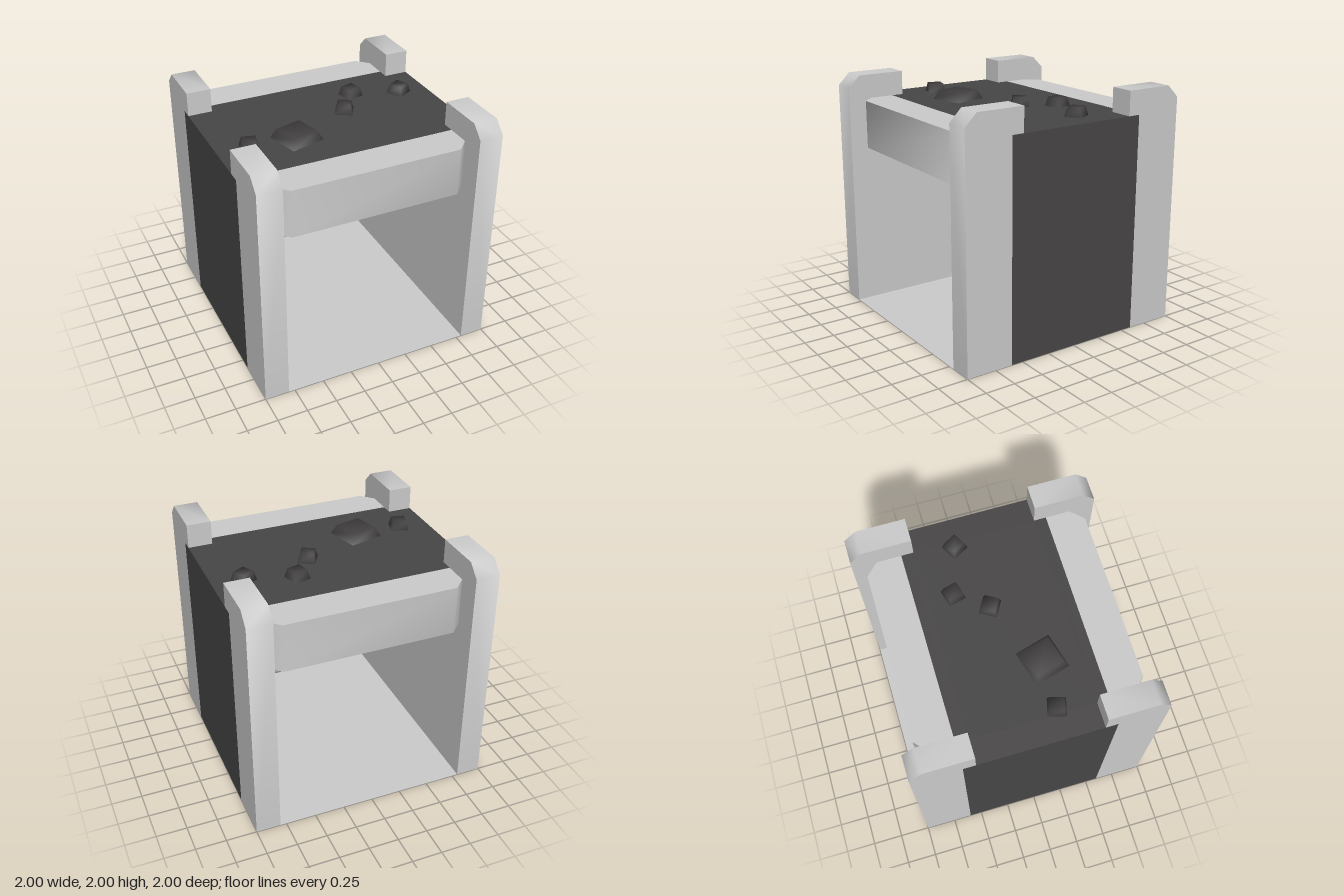
import * as THREE from 'three';
import { toCreasedNormals } from 'three/addons/utils/BufferGeometryUtils.js';

const grey = new THREE.MeshStandardMaterial({ color: 0xcccccc, side: THREE.DoubleSide });
const dark = new THREE.MeshStandardMaterial({ color: 0x484647, side: THREE.DoubleSide });
const coalDark = new THREE.MeshStandardMaterial({ color: 0x403e3f, side: THREE.DoubleSide });

function mesh(name, geometry, material) {
  const m = new THREE.Mesh(geometry, material);
  m.name = name;
  return m;
}

function flatShape(points) {
  return new THREE.ShapeGeometry(new THREE.Shape(points.map(([a, b]) => new THREE.Vector2(a, b))));
}

// Upright sheet at a given x from [z, y] points, facing +x (dir 1) or -x (dir -1)
function sideSheet(points, x, dir) {
  return flatShape(points.map(([z, y]) => [-dir * z, y])).rotateY(dir * Math.PI / 2).translate(x, 0, 0);
}

// Level sheet at a given y from [x, z] points, facing up (dir 1) or down (dir -1)
function levelSheet(points, y, dir) {
  return flatShape(points.map(([x, z]) => [x, -dir * z])).rotateX(-dir * Math.PI / 2).translate(0, y, 0);
}

// Strip swept between two copies of a path, soft over chamfers, sharp at right angles
function ribbon(path, place) {
  const n = path.length;
  const g = new THREE.PlaneGeometry(1, 1, n - 1, 1);
  const pos = g.attributes.position;
  for (let i = 0; i < pos.count; i++) {
    pos.setXYZ(i, ...place(path[i % n], i < n ? 0 : 1));
  }
  return toCreasedNormals(g, Math.PI / 3);
}

const rect = (a, b) => [[-a, -b], [a, -b], [a, b], [-a, b]];
const upright = (a, b) => [[-a, 0], [a, 0], [a, b], [-a, b]];

// Hollow corner post with a chamfered top and a lip over the hearth
function makePost() {
  const post = new THREE.Group();
  post.name = 'cornerPost';
  const path = [[0.6, 1.8], [0.5, 1.8], [0.5, 2], [0.9, 2], [1, 1.9], [1, 0]];
  const outline = [...path, [0.6, 0]];
  post.add(
    mesh('postEdge', ribbon(path, ([z, y], row) => [row ? 0.8 : 1, y, z]), grey),
    mesh('postOuterFace', sideSheet(outline, 1, 1), grey),
    mesh('postInnerFace', sideSheet(outline, 0.8, -1), grey),
  );
  return post;
}

// Cross beam with chamfered ends
function makeBeam() {
  const beam = new THREE.Group();
  beam.name = 'crossBeam';
  const path = [[-0.8, 0.8], [-0.7, 0.9], [0.7, 0.9], [0.8, 0.8]];
  const top = [...path, [0.8, 0.6], [-0.8, 0.6]];
  beam.add(
    mesh('beamFace', ribbon(path, ([x, z], row) => [x, row ? 1.4 : 1.8, z]), grey),
    mesh('beamTop', levelSheet(top, 1.8, 1), grey),
  );
  return beam;
}

// Smooth truncated pyramid without a base
function coalGeometry(size) {
  const position = [];
  for (const [h, y] of [[size / 2, 0], [size * 0.38, 0.075]]) {
    for (const [x, z] of rect(h, h)) position.push(x, y, z);
  }
  const index = [4, 7, 6, 4, 6, 5];
  for (let i = 0; i < 4; i++) {
    const j = (i + 1) % 4;
    index.push(i, i + 4, j, j, i + 4, j + 4);
  }
  const g = new THREE.BufferGeometry();
  g.setAttribute('position', new THREE.Float32BufferAttribute(position, 3));
  g.setIndex(index);
  g.computeVertexNormals();
  return g;
}

export function createModel() {
  const model = new THREE.Group();
  model.name = 'hearth';

  // Four posts, mirrored to the corners
  for (const sx of [1, -1]) {
    for (const sz of [1, -1]) {
      const post = makePost();
      post.scale.set(sx, 1, sz);
      model.add(post);
    }
  }

  // Front and back beams
  for (const turn of [0, Math.PI]) {
    const beam = makeBeam();
    beam.rotation.y = turn;
    model.add(beam);
  }

  // Side walls: dark outside, grey inside, open below
  for (const s of [1, -1]) {
    model.add(
      mesh('outerSidePanel', sideSheet(upright(0.6, 1.8), s, s), dark),
      mesh('innerSideWall', sideSheet(upright(0.6, 1.8), s * 0.8, -s), grey),
    );
  }

  // Floor, ceiling and coal bed
  const ceiling = [[-0.8, 0.8], [-0.7, 0.9], [0.7, 0.9], [0.8, 0.8],
    [0.8, -0.8], [0.7, -0.9], [-0.7, -0.9], [-0.8, -0.8]];
  const bed = [[-0.8, 0.6], [0.8, 0.6], [0.8, 0.5], [1, 0.5], [1, -0.5], [0.8, -0.5],
    [0.8, -0.6], [-0.8, -0.6], [-0.8, -0.5], [-1, -0.5], [-1, 0.5], [-0.8, 0.5]];
  model.add(
    mesh('floor', levelSheet(rect(0.8, 1), 0, 1), grey),
    mesh('ceiling', levelSheet(ceiling, 1.4, -1), grey),
    mesh('coalBed', levelSheet(bed, 1.8, 1), dark),
  );

  // Coals: x, z, size, turn in degrees
  const coals = [
    [-0.745, 0.2, 0.145, -15],
    [-0.355, 0.21, 0.295, 15],
    [0.178, -0.05, 0.145, -30],
    [0.357, -0.295, 0.145, 15],
    [0.75, -0.175, 0.145, 30],
  ];
  for (const [x, z, size, turn] of coals) {
    const coal = mesh('coal', coalGeometry(size), coalDark);
    coal.position.set(x, 1.8, z);
    coal.rotation.y = THREE.MathUtils.degToRad(turn);
    model.add(coal);
  }

  return model;
}
